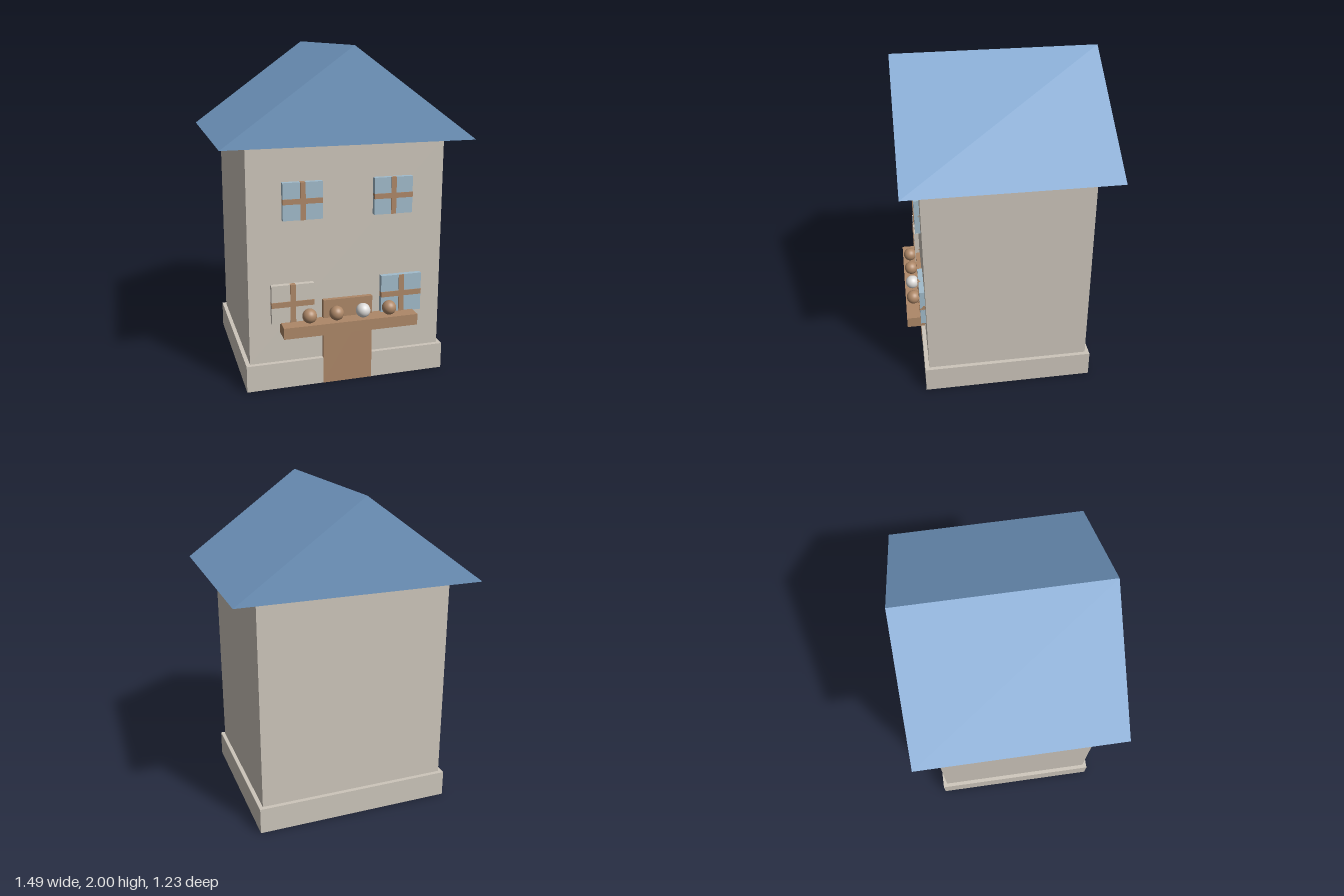
import * as THREE from 'three';

const mat = (name, color) => {
  const m = new THREE.MeshStandardMaterial({ color });
  m.name = name;
  return m;
};

export function createModel() {
  const house = new THREE.Group();
  house.name = 'house';
  const wall = mat('wall stone', 0xcdc6bb);
  const blue = mat('roof blue', 0x769fca);
  const wood = mat('wood brown', 0xae8868);
  const glass = mat('window glass', 0xa2bccc);
  const white = mat('pale flower', 0xdcdad8);

  // Box given by its extents on each axis
  const box = (name, material, [x0, x1], [y0, y1], [z0, z1], parent = house) => {
    const mesh = new THREE.Mesh(new THREE.BoxGeometry(x1 - x0, y1 - y0, z1 - z0), material);
    mesh.position.set((x0 + x1) / 2, (y0 + y1) / 2, (z0 + z1) / 2);
    mesh.name = name;
    parent.add(mesh);
  };

  // Plinth and walls
  box('plinth', wall, [-0.617, 0.617], [0, 0.163], [-0.525, 0.525]);
  box('walls', wall, [-0.593, 0.593], [0.163, 1.46], [-0.499, 0.499]);

  // Gabled roof
  const gable = new THREE.Shape([
    new THREE.Vector2(-0.745, 1.46),
    new THREE.Vector2(0.745, 1.46),
    new THREE.Vector2(0, 2),
  ]);
  const roofGeo = new THREE.ExtrudeGeometry(gable, { depth: 1.222, bevelEnabled: false });
  const roof = new THREE.Mesh(roofGeo.translate(0, 0, -0.613), blue);
  roof.name = 'roof';
  house.add(roof);

  // Door reaching the ground
  box('door', wood, [-0.152, 0.152], [0, 0.53], [0.48, 0.527]);

  // Windows: pane with crossed glazing bars
  const addWindow = (name, pane, cx, cy, w, h, bar) => {
    const g = new THREE.Group();
    g.name = name;
    house.add(g);
    const z = [0.495, 0.535];
    box('pane', pane, [cx - w / 2, cx + w / 2], [cy - h / 2, cy + h / 2], [0.495, 0.53], g);
    box('uprightBar', wood, [cx - bar / 2, cx + bar / 2], [cy - h / 2, cy + h / 2], z, g);
    box('crossBar', wood, [cx - w / 2, cx + w / 2], [cy - bar / 2, cy + bar / 2], [0.495, 0.5345], g);
  };
  addWindow('upperRightWindow', glass, -0.273, 1.14, 0.235, 0.22, 0.031);
  addWindow('upperLeftWindow', glass, 0.273, 1.14, 0.235, 0.22, 0.031);
  addWindow('lowerRightWindow', wall, -0.336, 0.53, 0.255, 0.235, 0.033);
  addWindow('lowerLeftWindow', glass, 0.334, 0.53, 0.255, 0.235, 0.033);

  // Flower shelf with round blooms
  box('flowerShelf', wood, [-0.41, 0.41], [0.35, 0.418], [0.505, 0.615]);
  [-0.246, -0.082, 0.082, 0.246].forEach((x, i) => {
    const bloom = new THREE.Mesh(new THREE.SphereGeometry(0.043, 32, 20), i === 2 ? white : wood);
    bloom.position.set(x, 0.459, 0.565);
    bloom.name = 'bloom';
    house.add(bloom);
  });

  return house;
}
